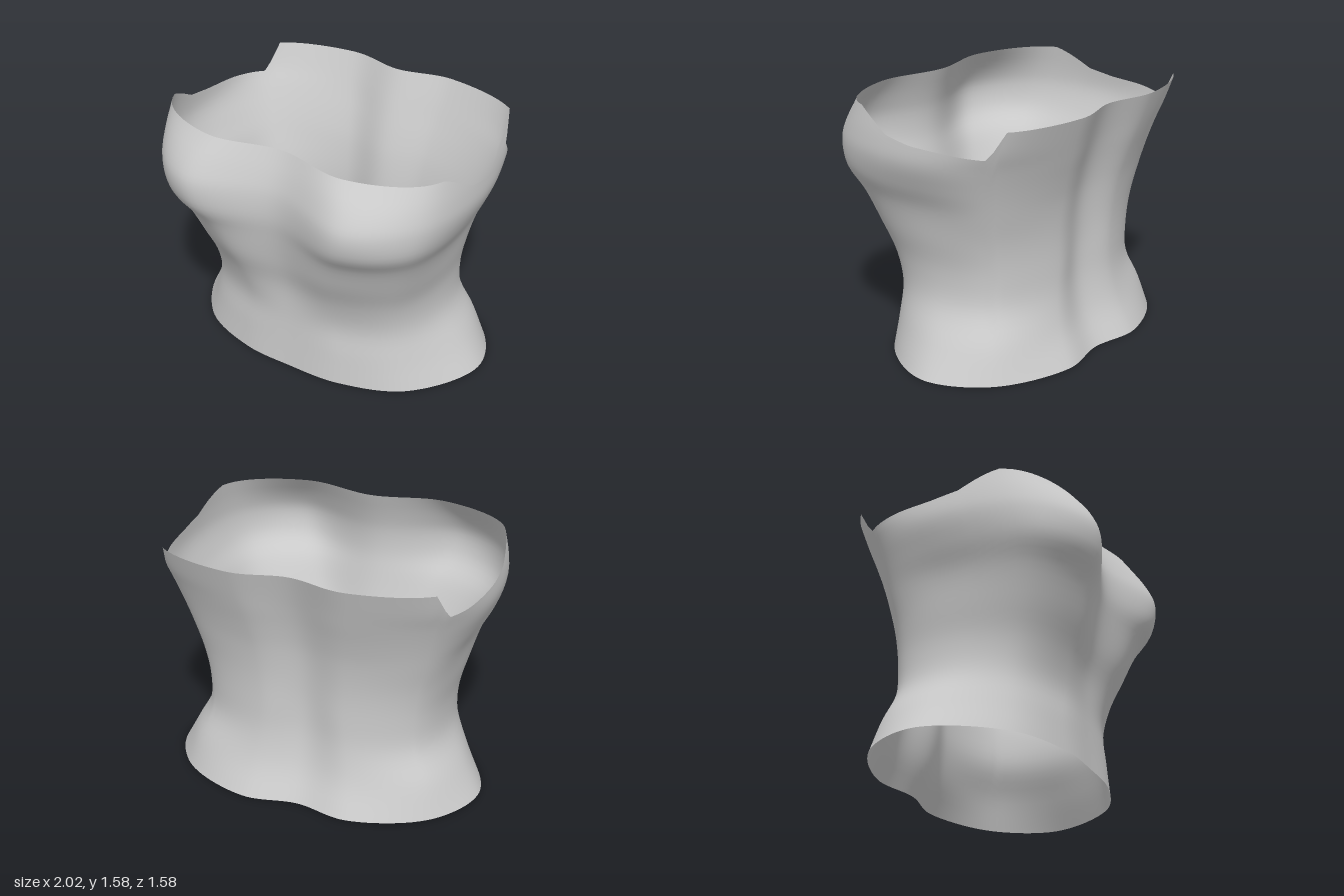
import * as THREE from 'three';

// Half cross-sections, bottom to top. Each: height, centre front z, bust peak (x,z),
// front corner (x,z), side (x,z), back corner (x,z), shoulder blade (x,z), spine z
const SECTIONS = [
  [0.00, 0.52, 0.35, 0.50, 0.75, 0.33, 1.00, -0.12, 0.82, -0.50, 0.35, -0.71, -0.66],
  [0.20, 0.51, 0.35, 0.485, 0.70, 0.32, 0.89, -0.10, 0.76, -0.46, 0.32, -0.62, -0.57],
  [0.40, 0.505, 0.30, 0.485, 0.66, 0.32, 0.79, -0.05, 0.69, -0.40, 0.29, -0.575, -0.525],
  [0.60, 0.52, 0.33, 0.53, 0.67, 0.36, 0.78, -0.04, 0.68, -0.40, 0.27, -0.568, -0.515],
  [0.80, 0.575, 0.38, 0.615, 0.73, 0.42, 0.82, -0.04, 0.71, -0.41, 0.28, -0.575, -0.525],
  [1.00, 0.62, 0.45, 0.69, 0.80, 0.48, 0.87, -0.05, 0.76, -0.44, 0.29, -0.605, -0.55],
  [1.15, 0.645, 0.52, 0.775, 0.87, 0.54, 0.94, -0.08, 0.80, -0.47, 0.31, -0.645, -0.585],
  [1.30, 0.64, 0.55, 0.79, 0.91, 0.52, 0.995, -0.12, 0.84, -0.51, 0.33, -0.695, -0.63],
  [1.42, 0.61, 0.54, 0.74, 0.915, 0.48, 1.00, -0.15, 0.87, -0.55, 0.35, -0.735, -0.67],
  [1.58, 0.55, 0.46, 0.63, 0.90, 0.42, 0.98, -0.15, 0.87, -0.61, 0.36, -0.79, -0.725],
];

// Height of the top hem by depth (z, y): front panel, armhole, notch, back panel
const HEM = [[-0.61, 1.56], [-0.58, 1.47], [-0.52, 1.39], [-0.3, 1.41], [-0.07, 1.42],
  [0.11, 1.45], [0.23, 1.52], [0.34, 1.575]];

function hemHeight(z) {
  if (z <= HEM[0][0]) return HEM[0][1];
  for (let i = 1; i < HEM.length; i++) {
    const [z0, y0] = HEM[i - 1], [z1, y1] = HEM[i];
    if (z <= z1) return y0 + (y1 - y0) * (z - z0) / (z1 - z0);
  }
  return HEM[HEM.length - 1][1];
}

// Closed ring curve: a half section mirrored across x
function ringCurve([y, front, ...rest]) {
  const spine = rest.pop();
  const side = [];
  for (let i = 0; i < rest.length; i += 2) side.push(new THREE.Vector3(rest[i], y, rest[i + 1]));
  const mirrored = side.map((p) => new THREE.Vector3(-p.x, y, p.z)).reverse();
  return new THREE.CatmullRomCurve3([new THREE.Vector3(0, y, front), ...side,
    new THREE.Vector3(0, y, spine), ...mirrored], true, 'centripetal');
}

// Parameter at which a rising column passes under the hem
function hemParameter(column) {
  let low = 0.5, high = 1;
  for (let i = 0; i < 24; i++) {
    const mid = (low + high) / 2;
    const p = column.getPoint(mid);
    if (p.y < hemHeight(p.z)) low = mid; else high = mid;
  }
  return low;
}

function bodiceGeometry(around = 144, rows = 36) {
  const rings = SECTIONS.map(ringCurve);
  const positions = [], index = [];
  for (let i = 0; i < around; i++) {
    const column = new THREE.CatmullRomCurve3(rings.map((r) => r.getPoint(i / around)));
    const end = hemParameter(column);
    for (let j = 0; j <= rows; j++) positions.push(...column.getPoint(end * j / rows).toArray());
  }
  const at = (i, j) => (i % around) * (rows + 1) + j;
  for (let i = 0; i < around; i++) {
    for (let j = 0; j < rows; j++) {
      const a = at(i, j), b = at(i + 1, j), c = at(i + 1, j + 1), d = at(i, j + 1);
      index.push(a, b, c, a, c, d);
    }
  }
  const geometry = new THREE.BufferGeometry();
  geometry.setAttribute('position', new THREE.Float32BufferAttribute(positions, 3));
  geometry.setIndex(index);
  geometry.computeVertexNormals();
  return geometry;
}

export function createModel() {
  const group = new THREE.Group();
  group.name = 'straplessTop';
  const fabric = new THREE.MeshStandardMaterial({ color: 0xcccccc, side: THREE.DoubleSide });
  fabric.name = 'light grey fabric';
  // Open cloth shell
  const bodice = new THREE.Mesh(bodiceGeometry(), fabric);
  bodice.name = 'bodice';
  group.add(bodice);
  return group;
}
